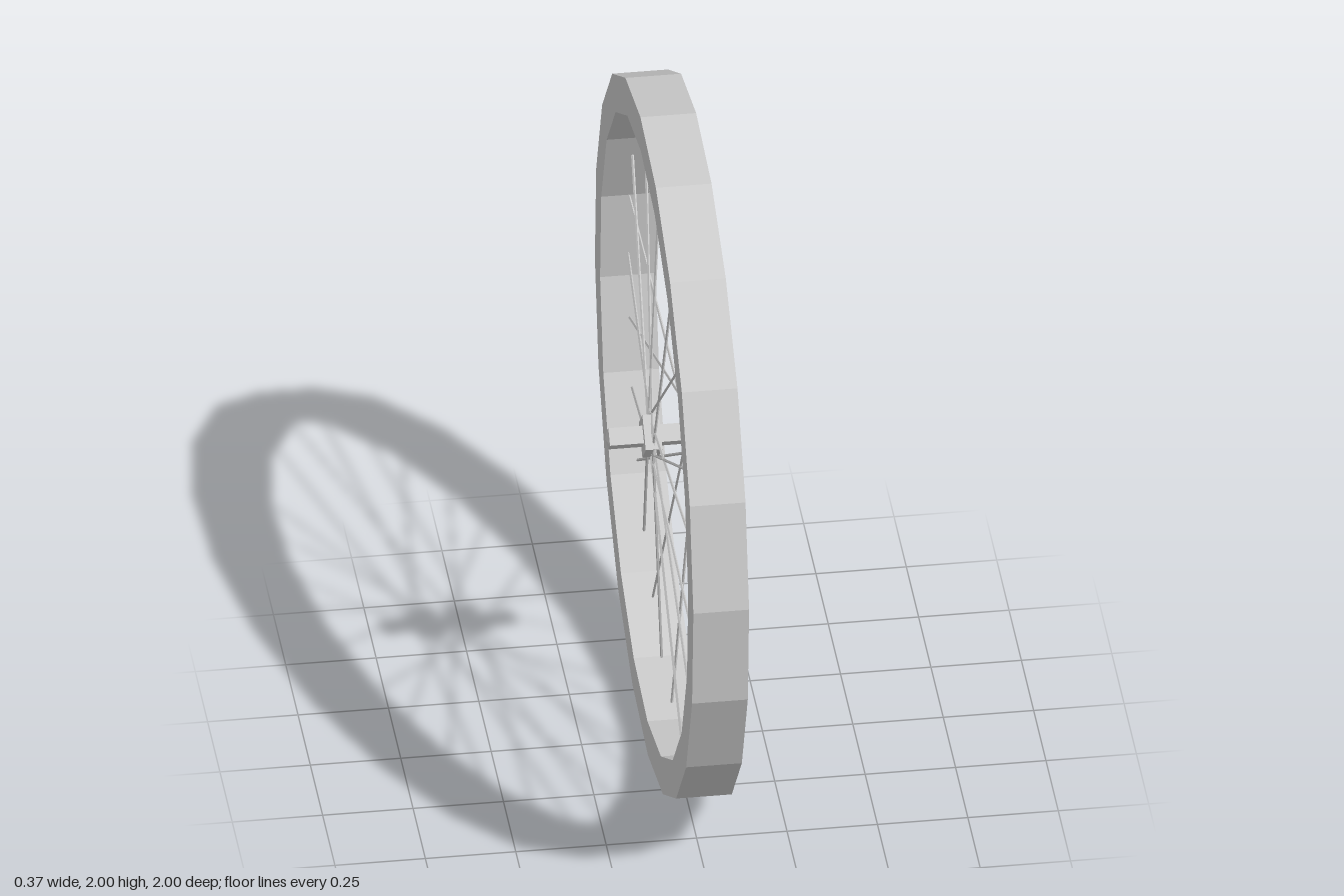
import * as THREE from 'three';

const RIM_SIDES = 20, SPOKES = 28;
const OUTER = 1.003, INNER = 0.897, HALF_WIDTH = 0.077;
const TURN = -THREE.MathUtils.degToRad(4.3);

const material = new THREE.MeshStandardMaterial({ color: 0xcccccc, flatShading: true });

// Revolves a closed (radius, x) profile around the wheel's x axis
function turned(name, profile, sides, turn = 0) {
  const points = profile.map(([r, x]) => new THREE.Vector2(r, x));
  const geometry = new THREE.LatheGeometry(points, sides);
  geometry.rotateZ(-Math.PI / 2).rotateX(turn);
  const mesh = new THREE.Mesh(geometry, material);
  mesh.name = name;
  return mesh;
}

// Point at an angle measured from the top towards the back
function polar(radius, angle, x) {
  return new THREE.Vector3(x, Math.cos(angle) * radius, -Math.sin(angle) * radius);
}

// Thin four-sided rod between two points
function rod(name, from, to, radius) {
  const direction = to.clone().sub(from);
  const mesh = new THREE.Mesh(new THREE.CylinderGeometry(radius, radius, direction.length(), 4), material);
  mesh.position.copy(from).add(to).multiplyScalar(0.5);
  mesh.quaternion.setFromUnitVectors(new THREE.Vector3(0, 1, 0), direction.normalize());
  mesh.name = name;
  return mesh;
}

export function createModel() {
  const wheel = new THREE.Group();
  wheel.name = 'wheel';
  wheel.position.y = 1;

  // Rim: a rectangular section swept around the wheel
  wheel.add(turned('rim', [
    [OUTER, -HALF_WIDTH], [OUTER, HALF_WIDTH],
    [INNER, HALF_WIDTH], [INNER, -HALF_WIDTH], [OUTER, -HALF_WIDTH],
  ], RIM_SIDES, TURN));

  // Axle: square bar with slightly pointed ends
  const hub = new THREE.Group();
  hub.name = 'hub';
  hub.add(turned('axle', [[0, -0.185], [0.035, -0.176], [0.035, 0.176], [0, 0.185]], 4));

  // Square flanges that hold the spokes
  for (const side of [-1, 1]) {
    const flange = turned('flange', [[0, -0.023], [0.07, -0.023], [0.07, 0.023], [0, 0.023]], 4);
    flange.position.x = side * 0.059;
    hub.add(flange);
  }
  wheel.add(hub);

  // Spokes: alternate between flanges, leaning in pairs; one is missing
  const spokes = new THREE.Group();
  spokes.name = 'spokes';
  for (let i = 0; i < SPOKES; i++) {
    if (i === 2) continue;
    const angle = (i / SPOKES) * Math.PI * 2 - 0.01;
    const lean = i % 4 === 1 || i % 4 === 2 ? 1 : -1;
    const side = i % 2 === 0 ? 1 : -1;
    const hubEnd = polar(0.052, angle + lean * Math.PI / 2, side * 0.059);
    spokes.add(rod('spoke', hubEnd, polar(0.9, angle, 0), 0.004));
  }
  wheel.add(spokes);

  const model = new THREE.Group();
  model.name = 'spokedWheel';
  model.add(wheel);
  return model;
}
